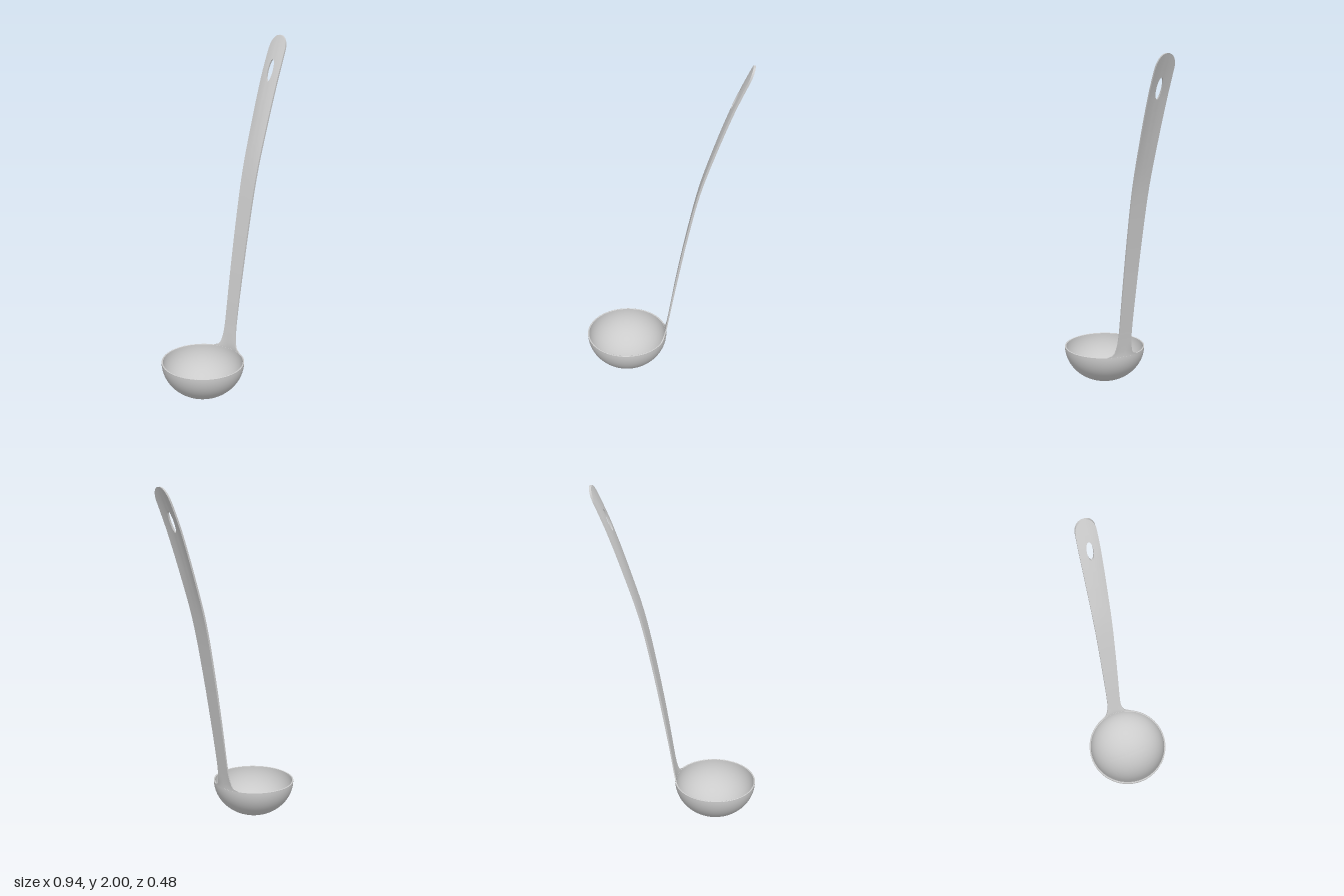
import * as THREE from 'three';
import { toCreasedNormals } from 'three/addons/utils/BufferGeometryUtils.js';

const RIM_Y = 0.21, RADIUS = 0.238, BOWL_X = -0.235, WALL = 0.008;
const material = new THREE.MeshStandardMaterial({ color: 0xcccccc, side: THREE.DoubleSide });

// Smooth curve of a value along the height, from [y, value] pairs
function alongHeight(pairs) {
  return (y) => {
    let i = 0;
    while (i < pairs.length - 2 && y > pairs[i + 1][0]) i++;
    const p = (k) => pairs[Math.max(0, Math.min(pairs.length - 1, k))];
    const slope = (k) => (p(k + 1)[1] - p(k - 1)[1]) / (p(k + 1)[0] - p(k - 1)[0]);
    const [y0, a] = p(i), [y1, b] = p(i + 1), h = y1 - y0, t = (y - y0) / h;
    const t2 = t * t, t3 = t2 * t;
    return a * (2 * t3 - 3 * t2 + 1) + b * (3 * t2 - 2 * t3)
      + h * (slope(i) * (t3 - 2 * t2 + t) + slope(i + 1) * (t3 - t2));
  };
}

// Thin half-round bowl with a rounded lip
function createBowl() {
  const pts = [], steps = 28;
  for (let i = 0; i <= steps; i++) {
    const a = (i / steps) * Math.PI / 2;
    pts.push(new THREE.Vector2(RADIUS * Math.sin(a), RIM_Y * (1 - Math.cos(a))));
  }
  pts.push(new THREE.Vector2(RADIUS - WALL / 2, RIM_Y + 0.002));
  for (let i = steps; i >= 0; i--) {
    const a = (i / steps) * Math.PI / 2;
    pts.push(new THREE.Vector2((RADIUS - WALL) * Math.sin(a), RIM_Y - (RIM_Y - WALL) * Math.cos(a)));
  }
  const bowl = new THREE.Mesh(toCreasedNormals(new THREE.LatheGeometry(pts, 72), 0.7), material);
  bowl.name = 'bowl';
  bowl.position.x = BOWL_X;
  return bowl;
}

// Curved strip handle: two mirrored halves that part around the hanging hole
function createHandle() {
  const centre = alongHeight([[0.19, -0.002], [0.24, 0.001], [0.35, 0.018], [0.6, 0.06], [0.93, 0.122],
    [1.25, 0.193], [1.53, 0.28], [1.75, 0.358], [1.87, 0.408], [2, 0.468]]);
  const sideWidth = alongHeight([[0.19, 0.108], [0.21, 0.1], [0.222, 0.07], [0.25, 0.054], [0.32, 0.043],
    [0.45, 0.041], [0.9, 0.046], [1.4, 0.053], [1.8, 0.058], [1.91, 0.057], [2, 0.055]]);
  const TIP = 1.915, HOLE_Y = 1.81, HOLE_H = 0.06, HOLE_W = 0.018;

  const outer = (y) => {
    const t = Math.max(0, (y - TIP) / (2 - TIP));
    return sideWidth(y) * Math.pow(Math.max(0, 1 - Math.pow(t, 2.2)), 1 / 2.2);
  };
  const inner = (y) => {
    const t = (y - HOLE_Y) / HOLE_H;
    return Math.abs(t) < 0.9999 ? HOLE_W * Math.sqrt(1 - t * t) : 0;
  };

  // Rows crowd towards the ends of each section
  const rows = [];
  [[0.19, 0.34, 20], [0.34, 1.75, 44], [1.75, 1.87, 18], [1.87, TIP, 3], [TIP, 2, 16]].forEach(([a, b, n]) => {
    for (let i = rows.length ? 1 : 0; i <= n; i++) rows.push(a + (b - a) * (1 - Math.cos(Math.PI * i / n)) / 2);
  });

  const cols = 6, loop = 2 * (cols + 1), positions = [], index = [];
  for (const side of [1, -1]) {
    const start = positions.length / 3;
    rows.forEach((y) => {
      const a = inner(y), b = outer(y);
      const wrap = 1 - THREE.MathUtils.smoothstep(y, 0.2, 0.3);
      const arch = 0.009 * THREE.MathUtils.smoothstep(y, 1.1, 1.6);
      const thick = 0.0035 + 0.0025 * THREE.MathUtils.smoothstep(y, 0.25, 0.7);
      for (let k = 0; k < loop; k++) {
        const j = k <= cols ? k : loop - 1 - k;
        const z = a + (b - a) * j / cols;
        // The foot follows the round rim; the grip is gently arched
        const sag = wrap * (RADIUS - Math.sqrt(RADIUS * RADIUS - z * z));
        const x = centre(y) - sag + arch * ((z / 0.058) ** 2 - 0.5) + (k <= cols ? -thick : thick);
        positions.push(x, y, side * z);
      }
    });
    for (let i = 0; i < rows.length - 1; i++) {
      const hole = inner(rows[i]) + inner(rows[i + 1]) > 0;
      for (let k = 0; k < (hole ? loop : loop - 1); k++) {
        const p = start + i * loop + k, q = start + i * loop + (k + 1) % loop;
        const r = p + loop, s = q + loop;
        if (side > 0) index.push(p, q, r, q, s, r);
        else index.push(p, r, q, q, r, s);
      }
    }
  }
  const geometry = new THREE.BufferGeometry();
  geometry.setAttribute('position', new THREE.Float32BufferAttribute(positions, 3));
  geometry.setIndex(index);
  const handle = new THREE.Mesh(toCreasedNormals(geometry, 0.7), material);
  handle.name = 'handle';
  return handle;
}

export function createModel() {
  const ladle = new THREE.Group();
  ladle.name = 'ladle';
  ladle.add(createBowl(), createHandle());
  return ladle;
}
